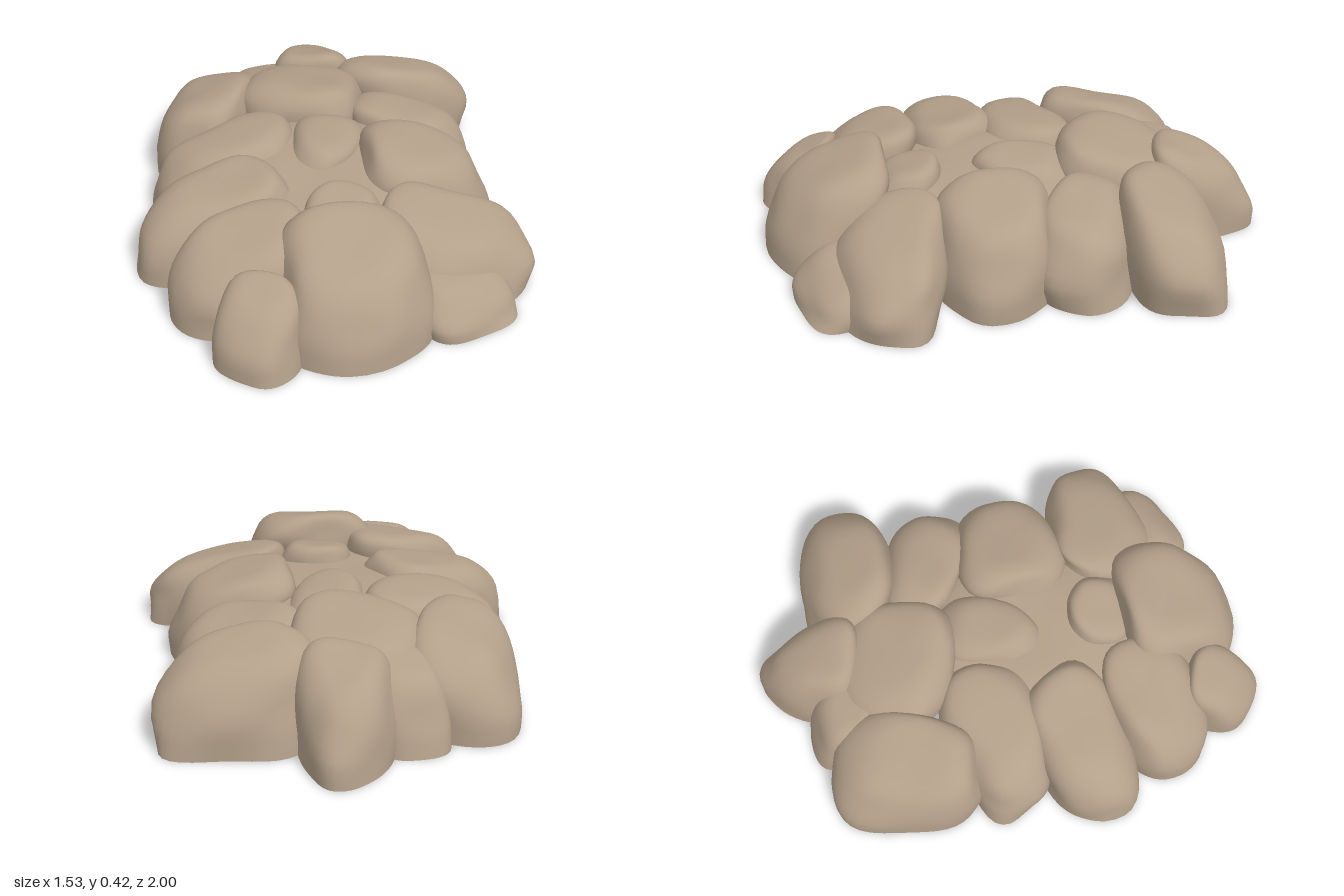
import * as THREE from 'three';

const stone = new THREE.MeshStandardMaterial({ color: 0xb3a08a, side: THREE.DoubleSide });
stone.name = 'stone';

// centre x, centre z, half length, half width, turn in degrees, height, narrowing of the far end
const ROCKS = {
  frontRock: [0, 0.74, 0.29, 0.25, 0, 0.39, 0],
  frontLeftCobble: [-0.37, 0.85, 0.165, 0.14, 30, 0.28, 0],
  frontRightCobble: [0.43, 0.74, 0.2, 0.14, -20, 0.19, 0],
  frontSideRockA: [-0.41, 0.56, 0.27, 0.21, 0, 0.34, -0.25],
  frontSideRockB: [0.46, 0.53, 0.3, 0.215, 0, 0.31, 0.25],
  middleSideRockA: [-0.48, 0.22, 0.3, 0.2, -12, 0.34, 0],
  middleSideRockB: [0.4, 0.12, 0.26, 0.235, 0, 0.385, 0],
  innerSideRockA: [-0.38, -0.12, 0.3, 0.19, -12, 0.35, 0],
  innerSideRockB: [0.43, -0.24, 0.26, 0.18, 25, 0.34, 0],
  backSideRockA: [-0.43, -0.51, 0.31, 0.21, 108, 0.36, 0],
  backSideRockB: [0.47, -0.575, 0.3, 0.2, 4, 0.37, 0],
  backMiddleRock: [-0.01, -0.46, 0.28, 0.255, 20, 0.4, 0],
  backTipRock: [0.09, -0.79, 0.21, 0.18, -80, 0.36, 0.25],
  backCobble: [-0.16, -0.71, 0.15, 0.14, 0, 0.32, 0],
  innerBackStone: [0.03, -0.04, 0.21, 0.15, 110, 0.37, 0.35],
  innerFrontStone: [0.02, 0.42, 0.155, 0.13, 10, 0.36, 0],
  hollowFloor: [0, 0.17, 0.34, 0.46, 0, 0.31, 0],
};

const SIDES = 40, RINGS = 12;
const signedPower = (v, p) => Math.sign(v) * Math.abs(v) ** p;

// The shells stop short of the ground under the middle of the pile
function baseHeight(x, z) {
  const d = (x / 0.5) ** 2 + (z / 0.85) ** 2;
  return 0.01 + 0.2 * THREE.MathUtils.smoothstep(1 - d, 0, 0.6);
}

// Gentle dents that vary from rock to rock
function dent(x, y, z, seed) {
  return Math.sin(x * 13 + seed * 2.1) * Math.sin(y * 15 + seed) * Math.sin(z * 12 + seed * 1.3);
}

// Rounded, slightly irregular footprint, as offsets from the rock's centre
function makeOutline(length, width, turn, narrow, seed) {
  const t = THREE.MathUtils.degToRad(turn);
  return Array.from({ length: SIDES }, (_, i) => {
    const a = (-i / SIDES) * Math.PI * 2;
    const wobble = 1 + 0.035 * Math.sin(3 * a + seed * 2) + 0.015 * Math.sin(5 * a + seed);
    const u = signedPower(Math.cos(a), 0.82);
    const along = u * length * wobble;
    const across = signedPower(Math.sin(a), 0.82) * width * wobble * (1 - narrow * u);
    return [along * Math.cos(t) - across * Math.sin(t), along * Math.sin(t) + across * Math.cos(t)];
  });
}

// One open-bottomed boulder lofted from its footprint up to its crown
function makeRock(name, [cx, cz, length, width, turn, height, narrow], seed) {
  const outline = makeOutline(length, width, turn, narrow, seed);
  const positions = [], indices = [];

  // The crown tilts up and leans towards the middle of the pile
  const addPoint = ([ox, oz], r, rise) => {
    const lean = 1 - 0.1 * rise * (1 - 0.3 * r);
    const k = r * (1 + 0.07 * dent(cx + ox * r, rise * 0.4, cz + oz * r, seed));
    const x = cx * lean + ox * k;
    const z = cz * lean + oz * k;
    const base = baseHeight(x, z);
    const top = Math.max(height - 0.4 * (cx * ox + cz * oz) * r, base + 0.02);
    positions.push(x, base + (top - base) * rise + 0.012 * rise * dent(x, 0.1, z, seed + 3), z);
  };
  for (let j = 0; j < RINGS; j++) {
    const a = (j / RINGS) * Math.PI / 2;
    const rise = Math.sin(a) ** 0.75;
    const tuck = 1 - 0.05 * Math.max(0, 1 - rise / 0.35);
    for (const p of outline) addPoint(p, Math.cos(a) ** 0.5 * tuck, rise);
  }
  addPoint([0, 0], 0, 1);

  const crown = RINGS * SIDES;
  for (let j = 0; j < RINGS; j++) {
    for (let i = 0; i < SIDES; i++) {
      const a = j * SIDES + i, b = j * SIDES + (i + 1) % SIDES;
      if (j === RINGS - 1) indices.push(a, b, crown);
      else indices.push(a, b, b + SIDES, a, b + SIDES, a + SIDES);
    }
  }
  const geometry = new THREE.BufferGeometry();
  geometry.setAttribute('position', new THREE.Float32BufferAttribute(positions, 3));
  geometry.setIndex(indices);
  geometry.computeVertexNormals();
  const mesh = new THREE.Mesh(geometry, stone);
  mesh.name = name;
  return mesh;
}

export function createModel() {
  const group = new THREE.Group();
  group.name = 'rockPile';
  Object.entries(ROCKS).forEach(([name, rock], i) => group.add(makeRock(name, rock, i + 1)));
  return group;
}
